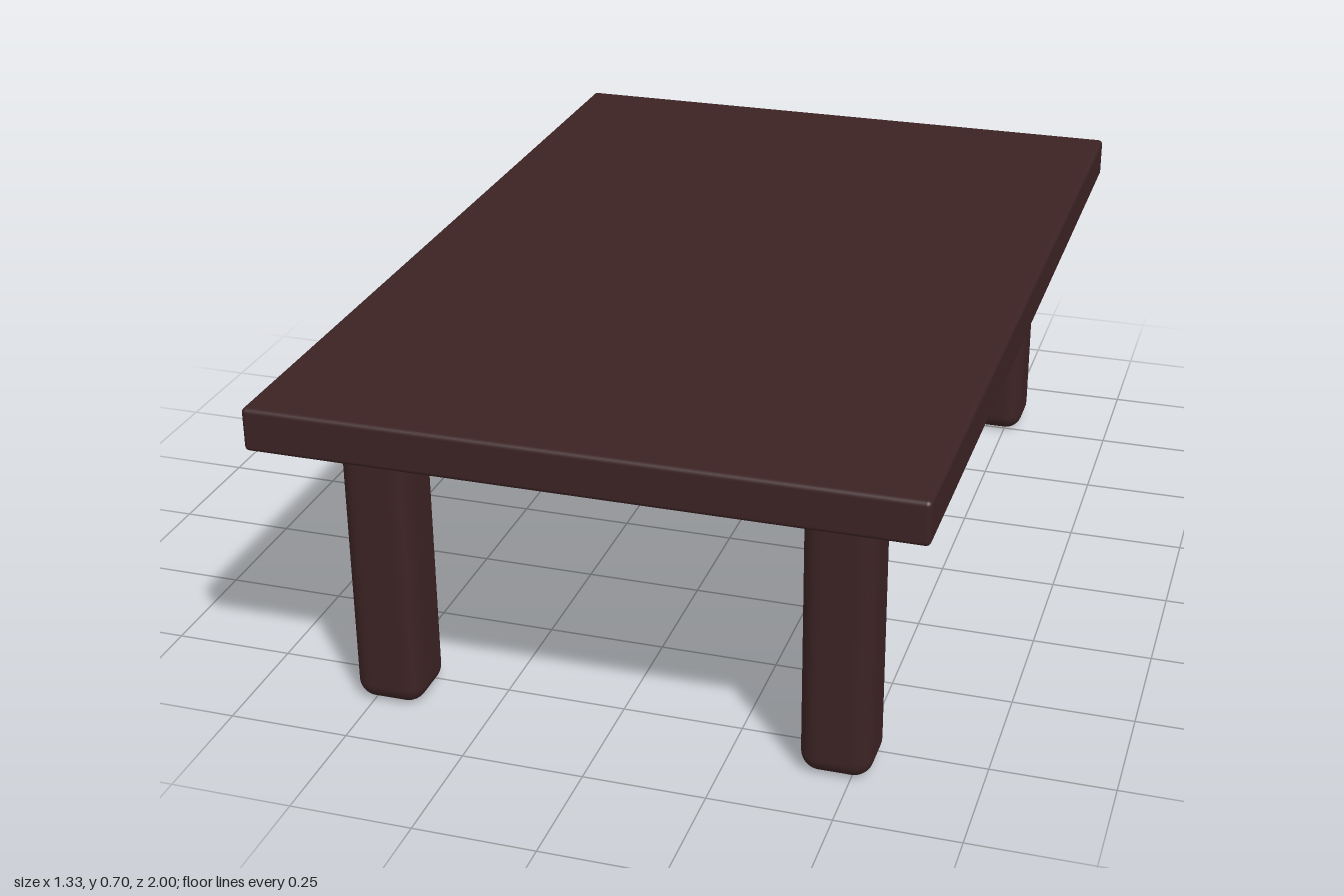
import * as THREE from 'three';
import { RoundedBoxGeometry } from 'three/addons/geometries/RoundedBoxGeometry.js';

export function createModel() {
  const table = new THREE.Group();
  table.name = 'table';

  const darkWood = new THREE.MeshStandardMaterial({ color: 0x3c2324 });
  darkWood.name = 'darkWood';

  // Slab with slightly eased edges
  const top = new THREE.Mesh(new RoundedBoxGeometry(1.33, 0.09, 2, 3, 0.01), darkWood);
  top.name = 'tableTop';
  top.position.y = 0.655;
  table.add(top);

  // Four square legs with soft edges, their tops set into the slab
  const legHeight = 0.67;
  const legGeometry = new RoundedBoxGeometry(0.145, legHeight, 0.145, 5, 0.04);
  for (const [endName, z] of [['front', 0.8], ['back', -0.8]]) {
    for (const [sideName, x] of [['Left', 0.467], ['Right', -0.467]]) {
      const leg = new THREE.Mesh(legGeometry, darkWood);
      leg.name = `${endName}${sideName}Leg`;
      leg.position.set(x, legHeight / 2, z);
      table.add(leg);
    }
  }

  return table;
}
